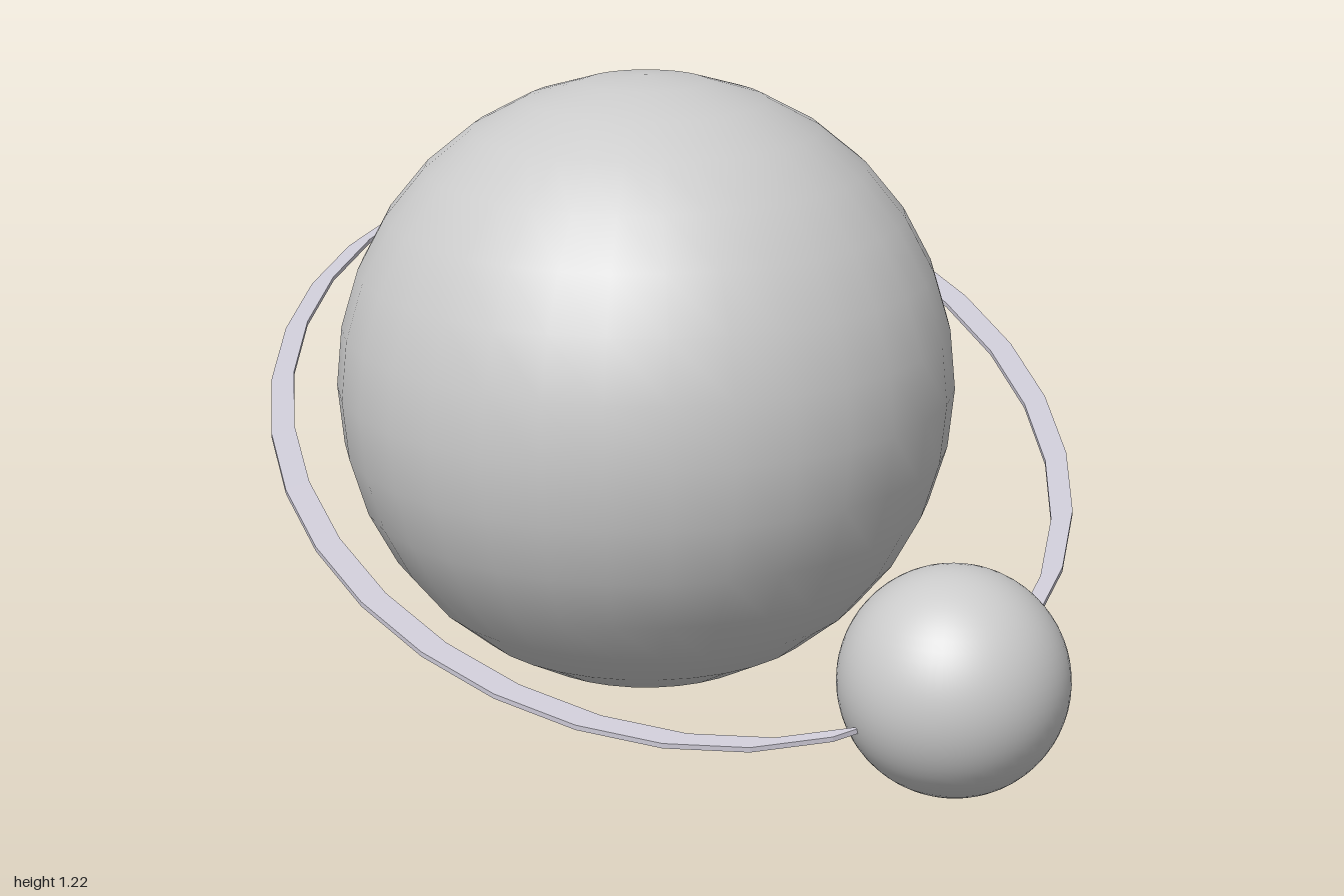
import * as THREE from 'three';

const grey = new THREE.MeshStandardMaterial({ color: 0xcccccc });
// the band turns over where it runs along its own width, so both sides are shown
const ringMaterial = new THREE.MeshStandardMaterial({
  color: 0xcbc8d4, flatShading: true, side: THREE.DoubleSide,
});

function sphere(name, radius, segments, x, y, z) {
  const mesh = new THREE.Mesh(new THREE.SphereGeometry(radius, segments, segments / 2), grey);
  mesh.name = name;
  mesh.position.set(x, y, z);
  return mesh;
}

// Tilted elliptical orbit drawn with a flat nib: one slanted section carried along the path
function orbitGeometry() {
  const steps = 32, phase = 1.289, slope = -0.2975;
  const half = [0.02, -0.0145], h = 0.0045;
  const section = [[-1, -h], [1, -h], [1, h], [-1, h]];
  const points = [], index = [];
  for (let i = 0; i < steps; i++) {
    const t = phase + ((i + 0.5) / steps) * Math.PI * 2;
    const cx = -0.004 + 0.797 * Math.cos(t);
    const cz = -0.016 + 0.972 * Math.cos(t - phase);
    for (const [side, lift] of section) {
      const x = cx + side * half[0], z = cz + side * half[1];
      points.push(x, 0.533 + slope * z + lift, z);
    }
    const next = (i + 1) % steps;
    for (let k = 0; k < 4; k++) {
      const l = (k + 1) % 4;
      const a = i * 4 + k, b = i * 4 + l, c = next * 4 + l, d = next * 4 + k;
      index.push(a, b, c, a, c, d);
    }
  }
  const geometry = new THREE.BufferGeometry();
  geometry.setAttribute('position', new THREE.Float32BufferAttribute(points, 3));
  geometry.setIndex(index);
  const flat = geometry.toNonIndexed();
  flat.computeVertexNormals();
  return flat;
}

export function createModel() {
  const model = new THREE.Group();
  model.name = 'planetWithMoon';

  model.add(sphere('planet', 0.61, 32, -0.03, 0.613, -0.025));
  model.add(sphere('moon', 0.204, 64, 0.61, 0.321, 0.791));

  const ring = new THREE.Mesh(orbitGeometry(), ringMaterial);
  ring.name = 'orbitRing';
  model.add(ring);
  return model;
}
